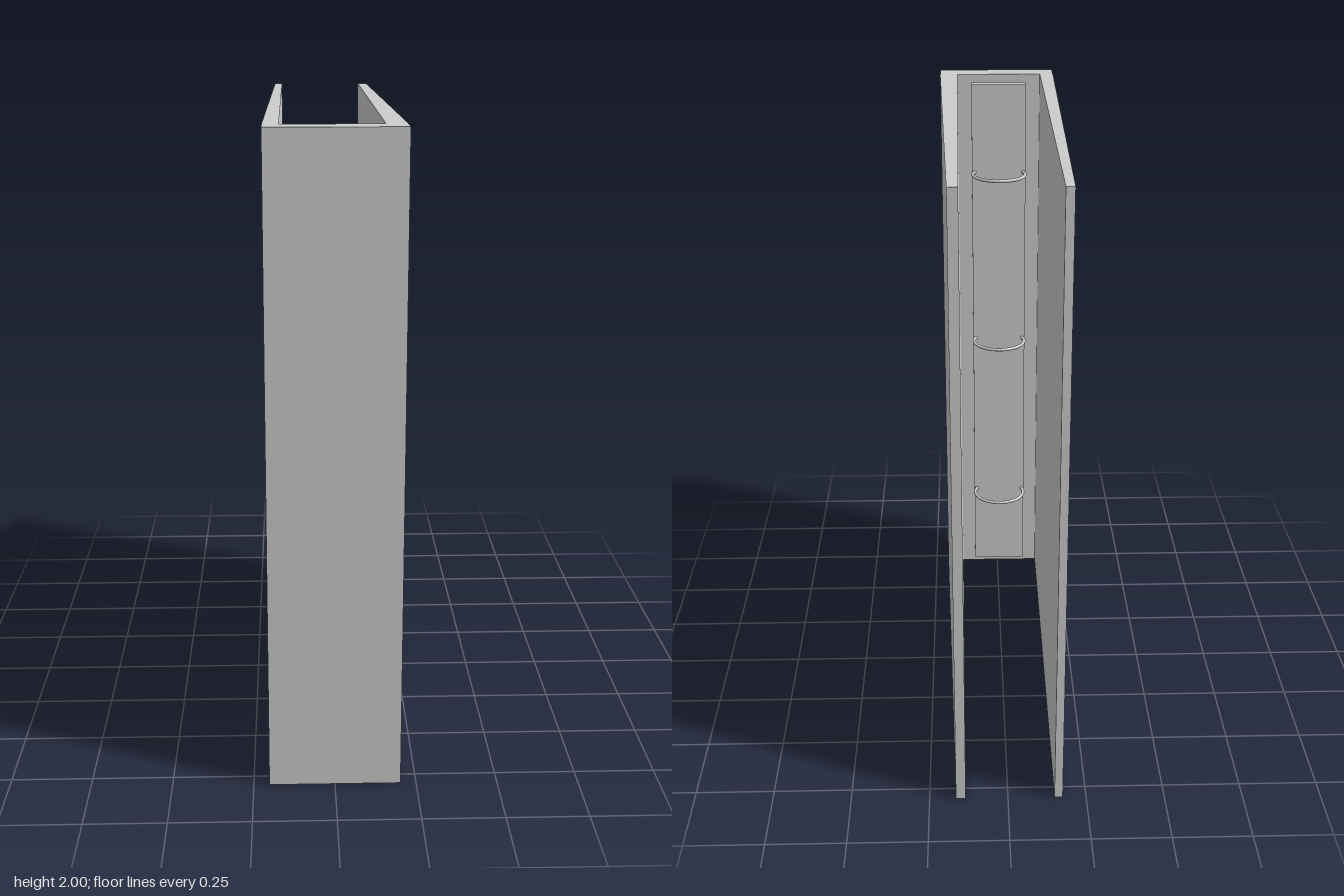
import * as THREE from 'three';

export function createModel() {
  const group = new THREE.Group();
  const mat = new THREE.MeshStandardMaterial({ color: 0xcccccc });

  const add = (name, geometry, x = 0, y = 0, z = 0) => {
    const mesh = new THREE.Mesh(geometry, mat);
    mesh.name = name;
    mesh.position.set(x, y, z);
    group.add(mesh);
  };

  // Cover: spine and two tapering boards, as an (x, z) outline run up the height
  const outline = [
    [-0.202, 0.8], [-0.202, 0.7], [-0.175, -0.8], [-0.149, -0.8], [-0.155, 0.716],
    [0.14, 0.716], [0.135, -0.8], [0.166, -0.8], [0.202, 0.7], [0.202, 0.8],
  ];
  const shape = new THREE.Shape(outline.map(([x, z]) => new THREE.Vector2(x, z)));
  const cover = new THREE.ExtrudeGeometry(shape, { depth: 2, bevelEnabled: false });
  cover.rotateX(Math.PI / 2);
  add('cover', cover, 0, 2, 0);

  // Ring plate fixed to the inside of the spine
  const cx = -0.007;
  add('ringPlate', new THREE.BoxGeometry(0.196, 1.94, 0.034), cx, 1, 0.7);

  // Rings: open arcs whose ends sink into the plate
  const radius = 0.095, dip = 0.42;
  for (const y of [0.35, 1, 1.65]) {
    const ring = new THREE.TorusGeometry(radius, 0.006, 10, 48, Math.PI + 2 * dip);
    ring.rotateZ(-dip);
    ring.rotateX(-Math.PI / 2);
    add('ring', ring, cx, y, 0.65);
  }
  return group;
}
